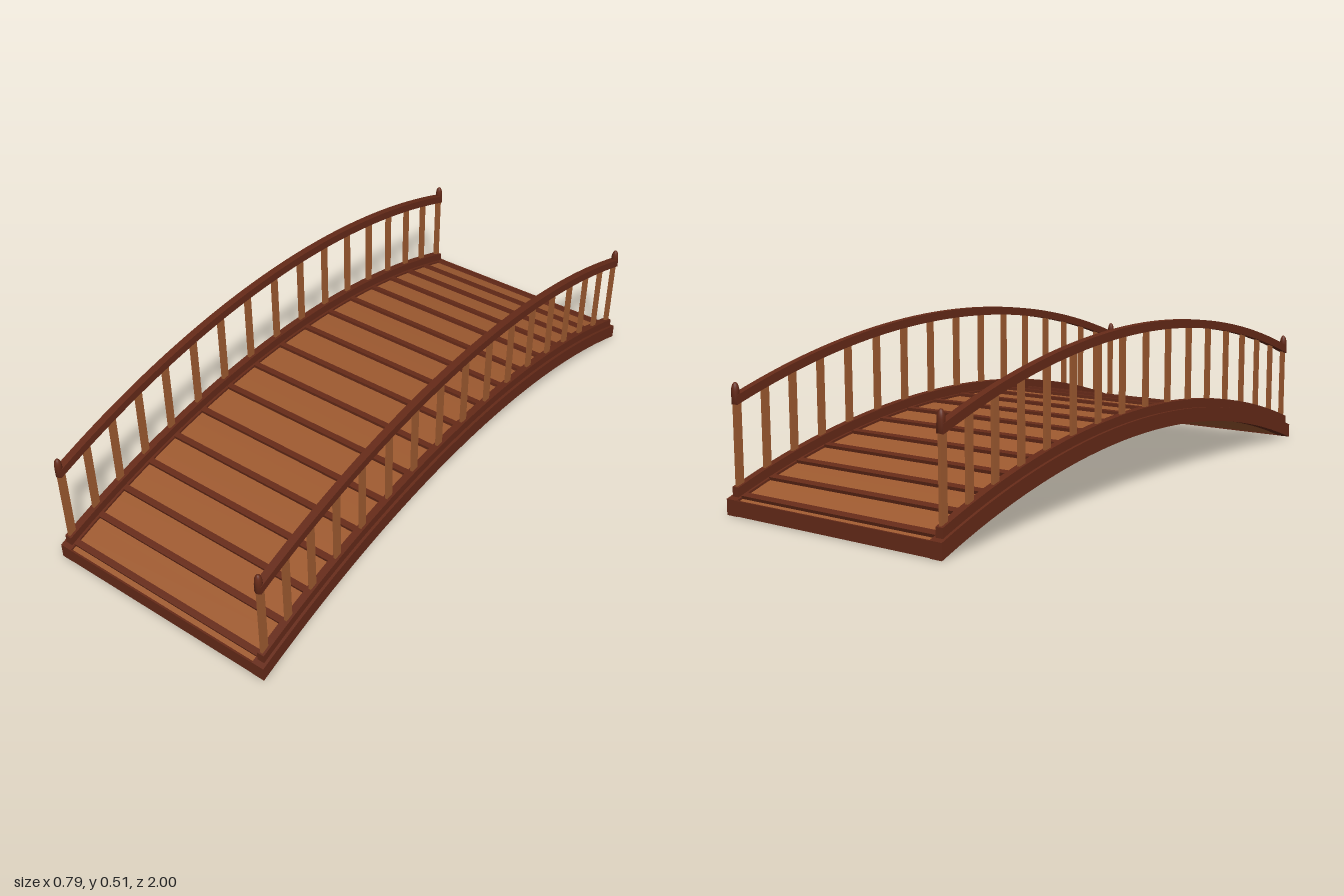
import * as THREE from 'three';

const R = 2.94; // radius of the arch
const drop = (z) => R - Math.sqrt(R * R - z * z);

const darkWood = new THREE.MeshStandardMaterial({ color: 0x652a18 });
const lightWood = new THREE.MeshStandardMaterial({ color: 0x9e5a30 });

// Spacing of battens and balusters, from the crown to the end
const STATIONS = [0, 0.134, 0.265, 0.394, 0.522, 0.641, 0.755, 0.863, 0.968];
const ALL_Z = [...STATIONS.slice(1).map((z) => -z).reverse(), ...STATIONS];

// Curved beam along z with vertical ends; y0 and y1 are its heights at the crown
function archBeam(name, x, width, y0, y1, zEnd, material) {
  const n = 40;
  const pts = [];
  for (let i = 0; i <= n; i++) {
    const z = -zEnd + (2 * zEnd * i) / n;
    pts.push(new THREE.Vector2(z, y0 - drop(z)));
  }
  for (let i = n; i >= 0; i--) {
    const z = -zEnd + (2 * zEnd * i) / n;
    pts.push(new THREE.Vector2(z, y1 - drop(z)));
  }
  const geo = new THREE.ExtrudeGeometry(new THREE.Shape(pts), { depth: width, bevelEnabled: false });
  geo.translate(0, 0, -width / 2);
  geo.rotateY(-Math.PI / 2);
  const mesh = new THREE.Mesh(geo, material);
  mesh.name = name;
  mesh.position.x = x;
  return mesh;
}

function box(name, w, h, d, x, y, z, material) {
  const mesh = new THREE.Mesh(new THREE.BoxGeometry(w, h, d), material);
  mesh.name = name;
  mesh.position.set(x, y, z);
  return mesh;
}

// Rounded cap over each end of the handrail
function finial(x, z) {
  const profile = [new THREE.Vector2(0, 0), new THREE.Vector2(0.0115, 0)];
  for (let i = 0; i <= 8; i++) {
    const a = (i / 8) * Math.PI / 2;
    profile.push(new THREE.Vector2(Math.max(0, 0.0115 * Math.cos(a)), 0.036 + 0.026 * Math.sin(a)));
  }
  const mesh = new THREE.Mesh(new THREE.LatheGeometry(profile, 16), darkWood);
  mesh.name = 'finial';
  mesh.position.set(x, 0.318, z);
  return mesh;
}

function railing(side) {
  const g = new THREE.Group();
  g.name = side > 0 ? 'leftRailing' : 'rightRailing';
  const x = side * 0.376;
  g.add(archBeam('curb', x, 0.024, 0.215, 0.25, 0.985, darkWood));
  g.add(archBeam('handrail', x, 0.024, 0.483, 0.51, 0.977, darkWood));
  for (const z of ALL_Z) {
    const bottom = 0.24 - drop(z);
    const top = 0.49 - drop(z);
    g.add(box('baluster', 0.009, top - bottom, 0.025, x, (top + bottom) / 2, z, lightWood));
  }
  for (const z of [-0.972, 0.972]) g.add(finial(x, z));
  return g;
}

export function createModel() {
  const model = new THREE.Group();
  model.name = 'archedFootbridge';

  // Deck between two side beams
  model.add(archBeam('deck', 0, 0.72, 0.178, 0.215, 0.997, lightWood));
  for (const side of [-1, 1]) {
    const beam = archBeam('sideBeam', side * 0.3765, 0.041, 0.175, 0.222, 1, darkWood);
    model.add(beam, railing(side));
  }

  // Raised battens across the deck, tilted to follow the arch
  for (const z of ALL_Z) {
    const batten = box('batten', 0.715, 0.02, 0.02, 0, 0.215 - drop(z), z, darkWood);
    batten.rotation.x = Math.asin(z / R);
    model.add(batten);
  }

  // Boards closing both ends of the deck
  for (const z of [-0.997, 0.997]) {
    model.add(box('endBoard', 0.72, 0.045, 0.006, 0, 0.0235, z, darkWood));
  }
  return model;
}
